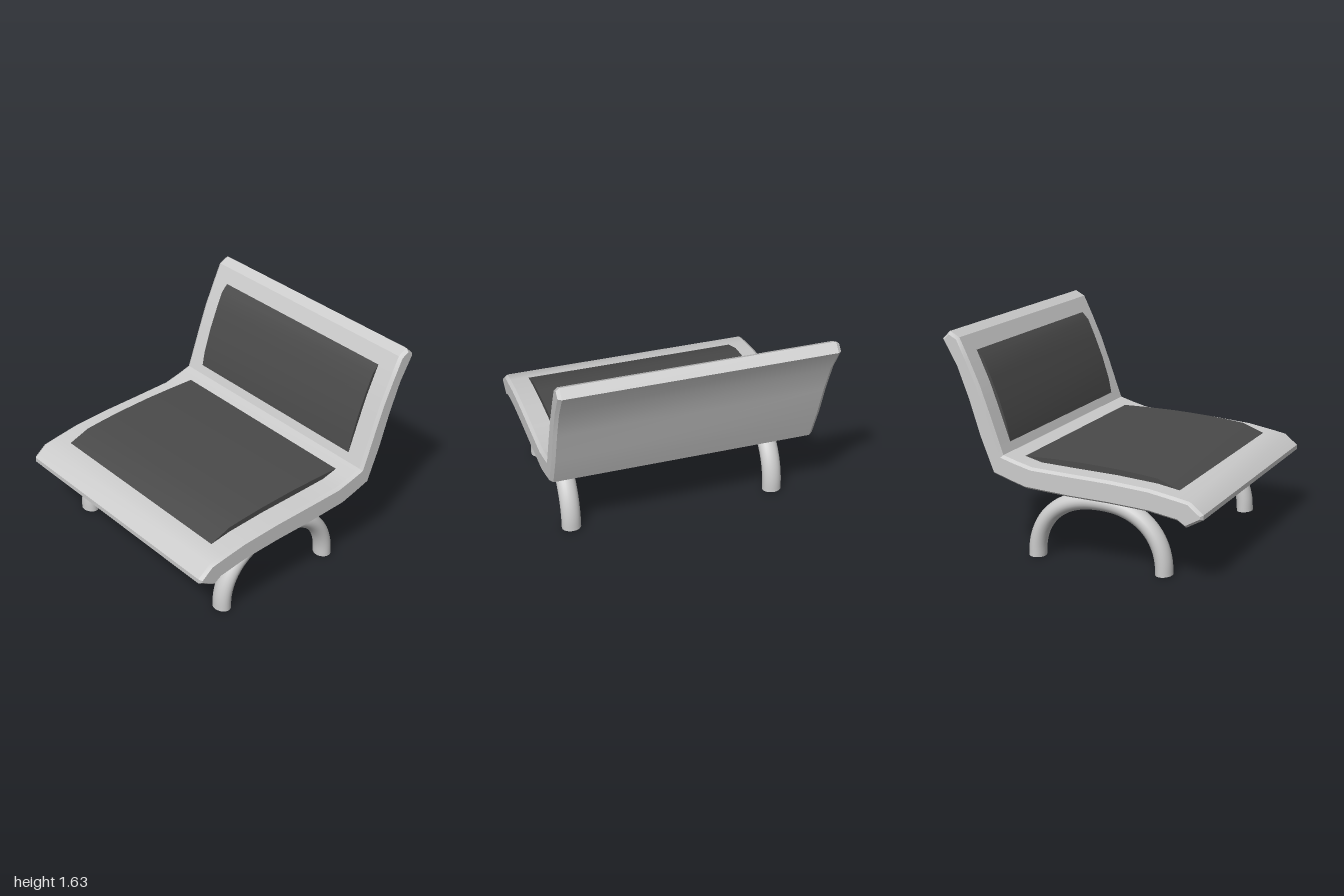
import * as THREE from 'three';
import { toCreasedNormals } from 'three/addons/utils/BufferGeometryUtils.js';

// Extrudes a closed (z, y) side profile across x, centred, with an optional chamfer
function slab(points, width, chamfer, material, name) {
  const shape = new THREE.Shape(points.map(([z, y]) => new THREE.Vector2(z, y)));
  const depth = width - 2 * chamfer;
  const geo = new THREE.ExtrudeGeometry(shape, {
    depth,
    bevelEnabled: chamfer > 0,
    bevelThickness: chamfer,
    bevelSize: chamfer * 0.7,
    bevelOffset: -chamfer * 0.7,
    bevelSegments: 1,
  });
  geo.translate(0, 0, -depth / 2);
  geo.rotateY(-Math.PI / 2);
  const mesh = new THREE.Mesh(toCreasedNormals(geo, 0.55), material);
  mesh.name = name;
  return mesh;
}

// Arched leg: a squarish half-ellipse tube with closed feet
function archLeg(x, material, name) {
  const leg = new THREE.Group();
  leg.name = name;
  const radius = 0.0625, halfSpan = 0.5, height = 0.465, power = 2 / 2.25;
  const path = [];
  for (let i = 0; i <= 24; i++) {
    const a = (i / 24) * Math.PI;
    const c = Math.cos(a), s = Math.max(0, Math.sin(a));
    path.push(new THREE.Vector3(0, height * s ** power, halfSpan * Math.sign(c) * Math.abs(c) ** power));
  }
  path[0].y = path[24].y = 0;
  const tube = new THREE.Mesh(
    new THREE.TubeGeometry(new THREE.CatmullRomCurve3(path), 48, radius, 24), material);
  tube.name = 'legArch';
  leg.add(tube);
  for (const side of [1, -1]) {
    const foot = new THREE.Mesh(new THREE.CircleGeometry(radius, 24), material);
    foot.name = 'legFoot';
    foot.rotation.x = Math.PI / 2;
    foot.position.set(0, 0.0005, side * halfSpan);
    leg.add(foot);
  }
  leg.scale.x = 1.18; // slightly oval section
  leg.position.set(x, 0, 0.14);
  return leg;
}

export function createModel() {
  const group = new THREE.Group();
  group.name = 'bench';
  const grey = new THREE.MeshStandardMaterial({ color: 0xcccccc });
  const dark = new THREE.MeshStandardMaterial({ color: 0x4a4a4a });

  // One-piece seat and backrest shell
  const shell = [
    [1.0, 0.535], [0.9, 0.615], [0.78, 0.637], [0.6, 0.667], [0.3, 0.688], [0, 0.697],
    [-0.3, 0.708], [-0.42, 0.738], [-0.53, 0.77],
    [-0.56, 0.85], [-0.635, 1.06], [-0.71, 1.26], [-0.79, 1.435], [-0.865, 1.59], [-0.94, 1.63],
    [-1.0, 1.572], [-0.89, 1.38], [-0.8, 1.15], [-0.715, 0.89], [-0.61, 0.63],
    [-0.48, 0.588], [-0.35, 0.55], [0, 0.53], [0.3, 0.523], [0.6, 0.506],
    [0.81, 0.472], [0.875, 0.43], [1.0, 0.5],
  ];
  group.add(slab(shell, 2, 0.025, grey, 'seatShell'));

  // Raised seat cushion
  const seatPad = [
    [0.785, 0.632], [0.6, 0.702], [0.45, 0.718], [0.3, 0.73], [0.14, 0.738], [0, 0.743],
    [-0.2, 0.744], [-0.43, 0.741],
    [-0.4, 0.68], [0, 0.64], [0.6, 0.6], [0.76, 0.59],
  ];
  group.add(slab(seatPad, 1.67, 0, dark, 'seatCushion'));

  // Raised back cushion
  const backPad = [
    [-0.553, 0.83], [-0.577, 0.95], [-0.635, 1.13], [-0.7, 1.29], [-0.76, 1.425], [-0.812, 1.48],
    [-0.83, 1.45], [-0.75, 1.23], [-0.68, 1.04], [-0.6, 0.83],
  ];
  group.add(slab(backPad, 1.67, 0, dark, 'backCushion'));

  // Pair of arched legs
  group.add(archLeg(0.8, grey, 'leftLeg'), archLeg(-0.8, grey, 'rightLeg'));
  return group;
}
